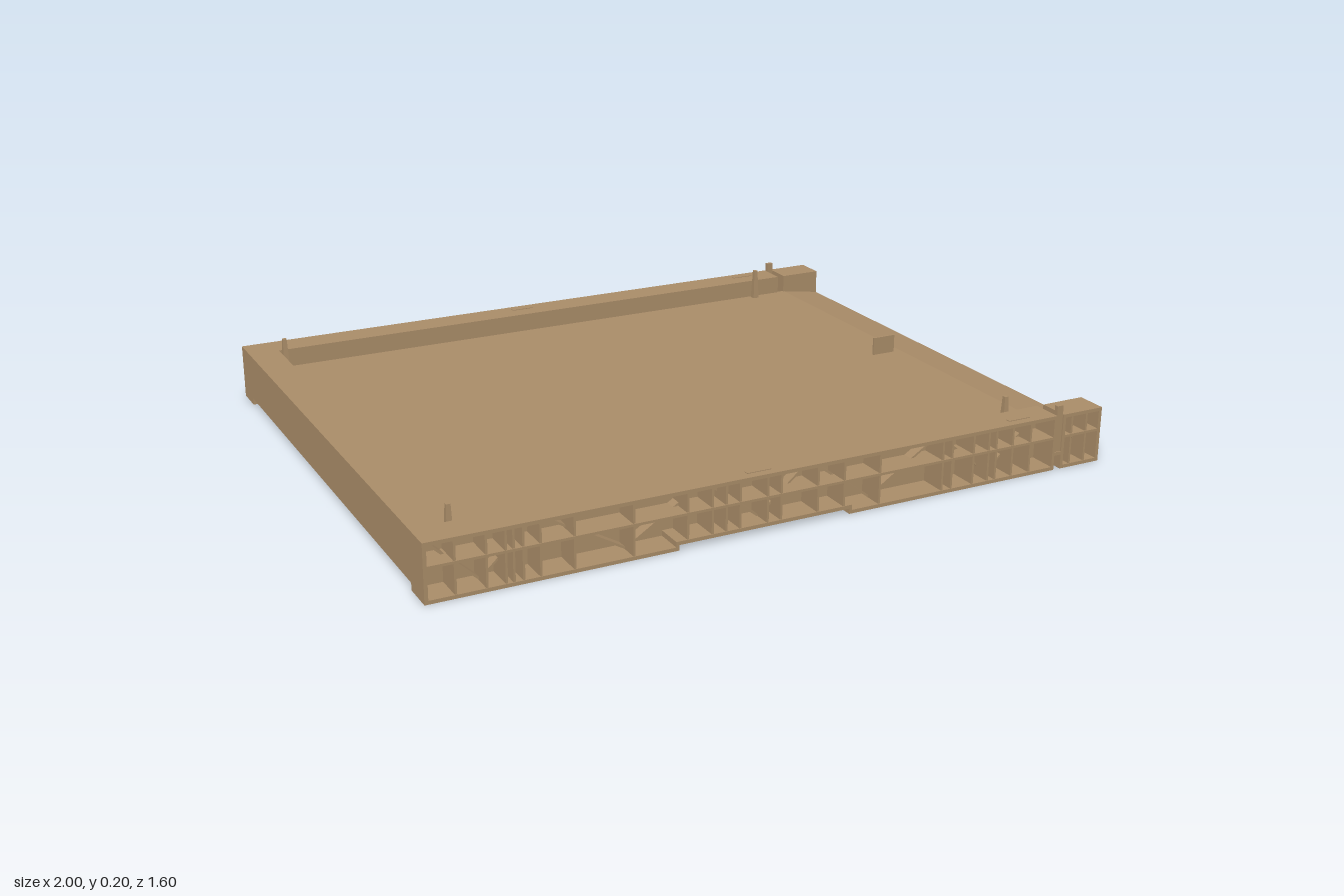
import * as THREE from 'three';

export function createModel() {
  const model = new THREE.Group();
  const mat = new THREE.MeshStandardMaterial({ color: 0xa98c68, flatShading: true });

  const add = (name, geo, parent = model) => {
    const mesh = new THREE.Mesh(geo, mat);
    mesh.name = name;
    parent.add(mesh);
    return mesh;
  };
  // Box given by its extents
  const box = (name, x0, x1, y0, y1, z0, z1, parent = model) => {
    const m = add(name, new THREE.BoxGeometry(x1 - x0, y1 - y0, Math.abs(z1 - z0)), parent);
    m.position.set((x0 + x1) / 2, (y0 + y1) / 2, (z0 + z1) / 2);
    return m;
  };
  // Slanted strut in the xy plane
  const strutXY = (name, xa, ya, xb, yb, z0, z1, t, parent) => {
    const m = add(name, new THREE.BoxGeometry(Math.hypot(xb - xa, yb - ya), t, Math.abs(z1 - z0)), parent);
    m.position.set((xa + xb) / 2, (ya + yb) / 2, (z0 + z1) / 2);
    m.rotation.z = Math.atan2(yb - ya, xb - xa);
  };
  // Slanted strut in the yz plane
  const strutYZ = (name, x, za, ya, zb, yb, t, parent) => {
    const m = add(name, new THREE.BoxGeometry(t, t, Math.hypot(zb - za, yb - ya)), parent);
    m.position.set(x, (ya + yb) / 2, (za + zb) / 2);
    m.rotation.x = -Math.atan2(yb - ya, zb - za);
  };

  // Floor slab with a lip sloping down to the open end
  const profile = new THREE.Shape();
  [[-0.92, 0.09], [0.86, 0.09], [0.99, 0.07], [1, 0.07], [1, 0.085], [0.87, 0.105], [-0.92, 0.105]]
    .forEach(([x, y], i) => (i ? profile.lineTo(x, y) : profile.moveTo(x, y)));
  const floor = new THREE.ExtrudeGeometry(profile, { depth: 1.43, bevelEnabled: false });
  floor.translate(0, 0, -0.715);
  add('floor', floor);
  box('openEndWall', 0.988, 1, 0.02, 0.08, -0.715, 0.715);

  // Hollow closed end: outer and inner walls, top and comb of ribs
  const end = new THREE.Group();
  end.name = 'closedEnd';
  model.add(end);
  box('endOuterWall', -1, -0.988, 0.02, 0.16, -0.72, 0.72, end);
  box('endInnerWall', -0.92, -0.91, 0.02, 0.16, -0.715, 0.715, end);
  box('endTop', -0.99, -0.915, 0.148, 0.16, -0.72, 0.72, end);
  for (let i = 0; i <= 20; i++) {
    const z = -0.68 + i * 0.068;
    box('endRib', -0.99, -0.918, 0.03, 0.15, z - 0.003, z + 0.003, end);
  }

  // Side beams: channels open outwards, stiffened by ribs and diagonals
  const ribs = [-0.92, -0.84, -0.79, -0.77, -0.745, -0.7, -0.61, -0.45, -0.3, -0.23, -0.19, -0.15,
    -0.07, -0.03, 0.08, 0.16, 0.27, 0.47, 0.5, 0.57, 0.62, 0.645, 0.7, 0.76, 0.9, 0.95];
  const zigzag = [[-0.99, 0.15], [-0.84, 0.012], [-0.69, 0.15], [-0.45, 0.012], [-0.23, 0.15], [-0.07, 0.024],
    [0.08, 0.15], [0.27, 0.012], [0.485, 0.15], [0.65, 0.012], [0.81, 0.15]];
  for (const s of [1, -1]) {
    const beam = new THREE.Group();
    beam.name = s > 0 ? 'frontBeam' : 'backBeam';
    model.add(beam);
    const zi = 0.71 * s, zw = 0.72 * s, zo = 0.8 * s;
    // Two lengths either side of the slot
    for (const [x0, x1] of [[-1, 0.845], [0.867, 1]]) {
      box('beamTop', x0, x1, 0.15, 0.16, zi, zo, beam);
      box('beamWeb', x0, x1, 0.005, 0.16, zi, zw, beam);
      box('beamShelf', x0, x1, 0.091, 0.098, zi, zo, beam);
    }
    // Stepped underside
    for (const [x0, x1, y] of [[-1, -0.33, 0], [-0.33, 0.18, 0.015], [0.18, 0.838, 0], [0.877, 1, 0]])
      box('beamBottom', x0, x1, y, y + 0.01, zi, zo, beam);
    for (const x of [-0.33, 0.18]) box('beamStep', x - 0.004, x + 0.004, 0, 0.025, zi, zo, beam);
    box('beamEnd', -1, -0.99, 0, 0.16, zi, zo, beam);
    box('beamEnd', 0.99, 1, 0, 0.16, zi, zo, beam);
    // Slot walls, slot base and upright tab
    box('slotWall', 0.837, 0.845, 0, 0.16, zi, zo, beam);
    box('slotWall', 0.867, 0.876, 0, 0.16, zi, zo, beam);
    box('slotBase', 0.84, 0.87, 0.042, 0.052, zi, zo, beam);
    box('slotSill', 0.84, 0.87, 0.045, 0.1, zi, zw, beam);
    box('slotTab', 0.846, 0.866, 0.045, 0.187, 0.785 * s, 0.797 * s, beam);
    for (const x of ribs) {
      const y0 = x > -0.33 && x < 0.18 ? 0.018 : 0.004;
      box('beamRib', x - 0.003, x + 0.003, y0, 0.155, zi, 0.798 * s, beam);
    }
    for (let i = 1; i < zigzag.length; i++)
      strutXY('beamDiagonal', ...zigzag[i - 1], ...zigzag[i], zw, 0.75 * s, 0.006, beam);
    strutXY('beamDiagonal', 0.88, 0.15, 0.985, 0.015, zw, 0.75 * s, 0.006, beam);

    // Locating pegs in the corners of the tray, tapered at the top
    for (const x of [-0.895, 0.745]) {
      const peg = new THREE.CylinderGeometry(0.008, 0.014, 0.1, 4).rotateY(Math.PI / 4);
      add('peg', peg).position.set(x, 0.15, 0.695 * s);
    }
    // Small raised pads on the rim
    for (const [x0, x1] of [[-0.12, -0.05], [0.7, 0.77]])
      box('rimPad', x0, x1, 0.158, 0.162, 0.762 * s, 0.776 * s, beam);
  }

  // Upright plate near the open end
  box('uprightPlate', 0.77, 0.845, 0.1, 0.16, -0.003, 0.003);

  // Solid beams under the floor
  const under = new THREE.Group();
  under.name = 'underframe';
  model.add(under);
  for (const z of [-0.5, -0.17, 0.17, 0.5]) box('longBeam', -0.915, 0.72, 0.04, 0.095, z - 0.012, z + 0.012, under);
  for (const x of [-0.75, -0.45, 0.2, 0.48]) box('crossBeam', x - 0.012, x + 0.012, 0.04, 0.095, -0.715, 0.715, under);

  // Open trusses under the floor
  for (const x of [-0.14, -0.07, 0.72, 0.8, 0.88, 0.95]) {
    const top = x > 0.9 ? 0.08 : 0.092;
    box('trussChord', x - 0.005, x + 0.005, 0.022, 0.032, -0.715, 0.715, under);
    const n = 16, step = 1.43 / n;
    for (let i = 0; i < n; i++) {
      const z = -0.715 + i * step, up = i % 2;
      strutYZ('trussDiagonal', x, z, up ? top : 0.027, z + step, up ? 0.027 : top, 0.007, under);
    }
  }
  // Ties joining the trusses at the open end
  for (let i = 0; i <= 8; i++) {
    const z = -0.7 + i * 0.175;
    box('endTie', 0.72, 0.99, 0.022, 0.032, z - 0.004, z + 0.004, under);
    box('middleTie', -0.14, -0.07, 0.022, 0.032, z - 0.004, z + 0.004, under);
  }
  return model;
}
